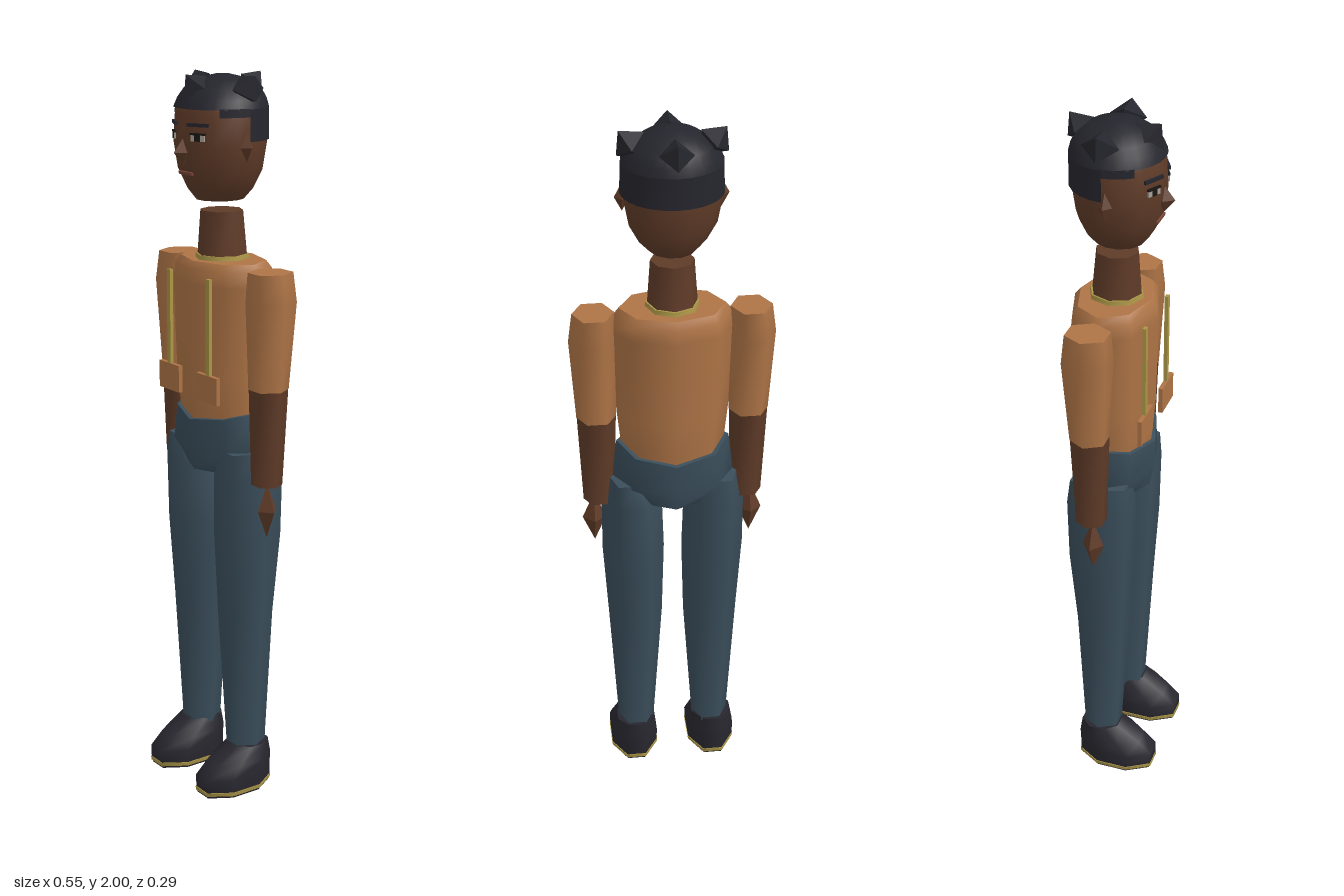
import * as THREE from 'three';

const mat = (name, color) => Object.assign(new THREE.MeshStandardMaterial({ color }), { name });

export function createModel() {
  const skin = mat('skin', 0x5f3b28);
  const shirt = mat('shirt', 0xae7446);
  const denim = mat('denim', 0x3a4e5b);
  const hair = mat('hair', 0x25252d);
  const shoe = mat('shoe', 0x28272f);
  const gold = mat('gold', 0xac9747);
  const eyeWhite = mat('eyeWhite', 0xa8a098);
  const dark = mat('dark', 0x1a1614);
  const lips = mat('lips', 0x7a4436);
  hair.side = THREE.DoubleSide;

  const model = new THREE.Group();
  model.name = 'figure';

  const add = (name, geometry, material, x = 0, y = 0, z = 0, parent = model) => {
    const mesh = new THREE.Mesh(geometry, material);
    mesh.name = name;
    mesh.position.set(x, y, z);
    parent.add(mesh);
    return mesh;
  };

  // Elliptical rings listed from top to bottom as [y, cx, cz, rx, rz], smooth around, hard at the caps
  const loft = (rings, sides, start = 0, arc = Math.PI * 2, wave = 0) => {
    const rows = rings.length - 1;
    const g = new THREE.CylinderGeometry(1, 1, 1, sides, rows, false, start, arc);
    const p = g.attributes.position;
    for (let i = 0; i < p.count; i++) {
      const x = p.getX(i), z = p.getZ(i);
      const row = Math.round((0.5 - p.getY(i)) * rows);
      const [y, cx, cz, rx, rz] = rings[row];
      const lift = row === 0 ? wave * (x * x - z * z) : 0;
      p.setXYZ(i, cx + x * rx, y + lift, cz + z * rz);
    }
    g.computeVertexNormals();
    if (arc > 6) {
      // Blend the normals across the seam
      const n = g.attributes.normal, a = new THREE.Vector3(), b = new THREE.Vector3();
      for (let r = 0; r <= rows; r++) {
        const i = r * (sides + 1), j = i + sides;
        a.fromBufferAttribute(n, i).add(b.fromBufferAttribute(n, j)).normalize();
        n.setXYZ(i, a.x, a.y, a.z);
        n.setXYZ(j, a.x, a.y, a.z);
      }
    }
    return g;
  };

  const gem = (rx, ry, rz) => new THREE.OctahedronGeometry(1).scale(rx, ry, rz);
  const box = (w, h, d) => new THREE.BoxGeometry(w, h, d);

  // Torso, hips and neck
  add('torso', loft([
    [1.51, 0, -0.015, 0.142, 0.098], [1.49, 0, -0.015, 0.158, 0.114], [1.45, 0, -0.015, 0.165, 0.118],
    [1.2, 0, -0.015, 0.152, 0.113], [1.1, 0, -0.015, 0.142, 0.104], [1.05, 0, -0.015, 0.135, 0.098],
  ], 8), shirt);
  add('hips', loft([
    [1.09, 0, -0.015, 0.154, 0.113], [0.99, 0, -0.015, 0.175, 0.112], [0.93, 0, -0.015, 0.095, 0.098],
  ], 8, 0, Math.PI * 2, 0.015), denim);
  add('neck', loft([[1.64, 0, -0.01, 0.058, 0.058], [1.5, 0, -0.012, 0.068, 0.07]], 8), skin);
  add('collar', loft([[1.522, 0, -0.012, 0.071, 0.073], [1.508, 0, -0.012, 0.073, 0.075]], 8), gold);

  // Head with nose and mouth
  const head = new THREE.Group();
  head.name = 'head';
  model.add(head);
  add('skull', loft([
    [1.985, 0, -0.008, 0.055, 0.055], [1.95, 0, -0.008, 0.103, 0.1], [1.9, 0, -0.006, 0.126, 0.12],
    [1.82, 0, -0.004, 0.13, 0.122], [1.75, 0, -0.004, 0.117, 0.112], [1.7, 0, -0.004, 0.09, 0.09],
    [1.67, 0, -0.004, 0.062, 0.066],
  ], 12, Math.PI / 12), skin, 0, 0, 0, head);
  add('nose', gem(0.02, 0.035, 0.028), skin, 0, 1.8, 0.115, head);
  add('mouth', box(0.06, 0.008, 0.008), lips, 0, 1.745, 0.104, head).rotation.x = 0.25;

  // Hair cap, lower back band and four knots
  add('hairCap', loft([
    [1.996, 0, -0.012, 0.02, 0.02], [1.985, 0, -0.012, 0.066, 0.066], [1.96, 0, -0.012, 0.104, 0.102],
    [1.935, 0, -0.01, 0.122, 0.117], [1.912, 0, -0.008, 0.131, 0.125],
  ], 24), hair, 0, 0, 0, head);
  add('hairBack', loft([[1.913, 0, -0.008, 0.131, 0.125], [1.83, 0, -0.006, 0.134, 0.127]],
    12, Math.PI / 2, Math.PI), hair, 0, 0, 0, head);
  add('frontKnot', gem(0.045, 0.046, 0.046), hair, 0, 1.963, 0.075, head).rotation.x = 0.7;
  add('backKnot', gem(0.045, 0.046, 0.046), hair, 0, 1.963, -0.107, head).rotation.x = -0.7;

  for (const s of [1, -1]) {
    const side = s > 0 ? 'left' : 'right';

    // Temple hair, knot, ear, eye and brow
    add(side + 'Temple', loft([[1.915, 0, -0.008, 0.131, 0.125], [1.893, 0, -0.008, 0.132, 0.126]],
      3, s > 0 ? 0.9 : -1.57, 0.67), hair, 0, 0, 0, head);
    add(side + 'Knot', gem(0.046, 0.046, 0.05), hair, s * 0.106, 1.963, -0.018, head).rotation.z = -s * 0.7;
    add(side + 'Ear', gem(0.02, 0.038, 0.02), skin, s * 0.127, 1.815, 0, head);
    const eye = new THREE.Group();
    eye.name = side + 'Eye';
    eye.position.set(s * 0.054, 1.84, 0.104);
    eye.rotation.y = s * 0.48;
    head.add(eye);
    add('eyeWhite', box(0.04, 0.017, 0.006), eyeWhite, 0, 0, 0, eye);
    add('pupil', box(0.016, 0.017, 0.008), dark, 0, 0, 0.001, eye);
    add('eyelid', box(0.044, 0.005, 0.009), dark, 0, 0.01, 0, eye);
    add('brow', box(0.062, 0.009, 0.008), hair, 0, 0.033, -0.001, eye);

    // Strap and pocket
    add(side + 'Strap', box(0.015, 0.265, 0.01), gold, s * 0.092, 1.343, 0.097);
    add(side + 'Pocket', box(0.095, 0.075, 0.012), shirt, s * 0.089, 1.178, 0.098);

    // Arm
    add(side + 'Sleeve', loft([
      [1.5, s * 0.209, -0.018, 0.056, 0.062], [1.42, s * 0.213, -0.018, 0.063, 0.07],
      [1.185, s * 0.207, -0.016, 0.054, 0.054],
    ], 6, Math.PI / 2), shirt);
    add(side + 'Forearm', loft([
      [1.186, s * 0.207, -0.016, 0.053, 0.053], [0.92, s * 0.205, -0.014, 0.043, 0.042],
    ], 6, Math.PI / 2), skin);
    add(side + 'Hand', gem(0.033, 0.078, 0.03), skin, s * 0.219, 0.852, -0.005);

    // Trouser leg
    add(side + 'Leg', loft([
      [1.0, s * 0.128, -0.016, 0.055, 0.09], [0.93, s * 0.115, -0.018, 0.084, 0.098],
      [0.75, s * 0.112, -0.018, 0.087, 0.094], [0.52, s * 0.108, -0.015, 0.077, 0.076],
      [0.12, s * 0.11, -0.017, 0.052, 0.055],
    ], 6, Math.PI / 2), denim);

    // Shoe with a thin trim
    const x = s * 0.116;
    add(side + 'Shoe', loft([
      [0.132, x, -0.02, 0.055, 0.06], [0.09, x, 0.012, 0.07, 0.1], [0.055, x, 0.031, 0.074, 0.118],
      [0.02, x, 0.031, 0.073, 0.118], [0, x, 0.031, 0.068, 0.114],
    ], 8, Math.PI / 8), shoe);
    add(side + 'ShoeTrim', loft([[0.018, x, 0.031, 0.075, 0.12], [0.007, x, 0.031, 0.073, 0.119]],
      8, Math.PI / 8), gold);
  }
  return model;
}
